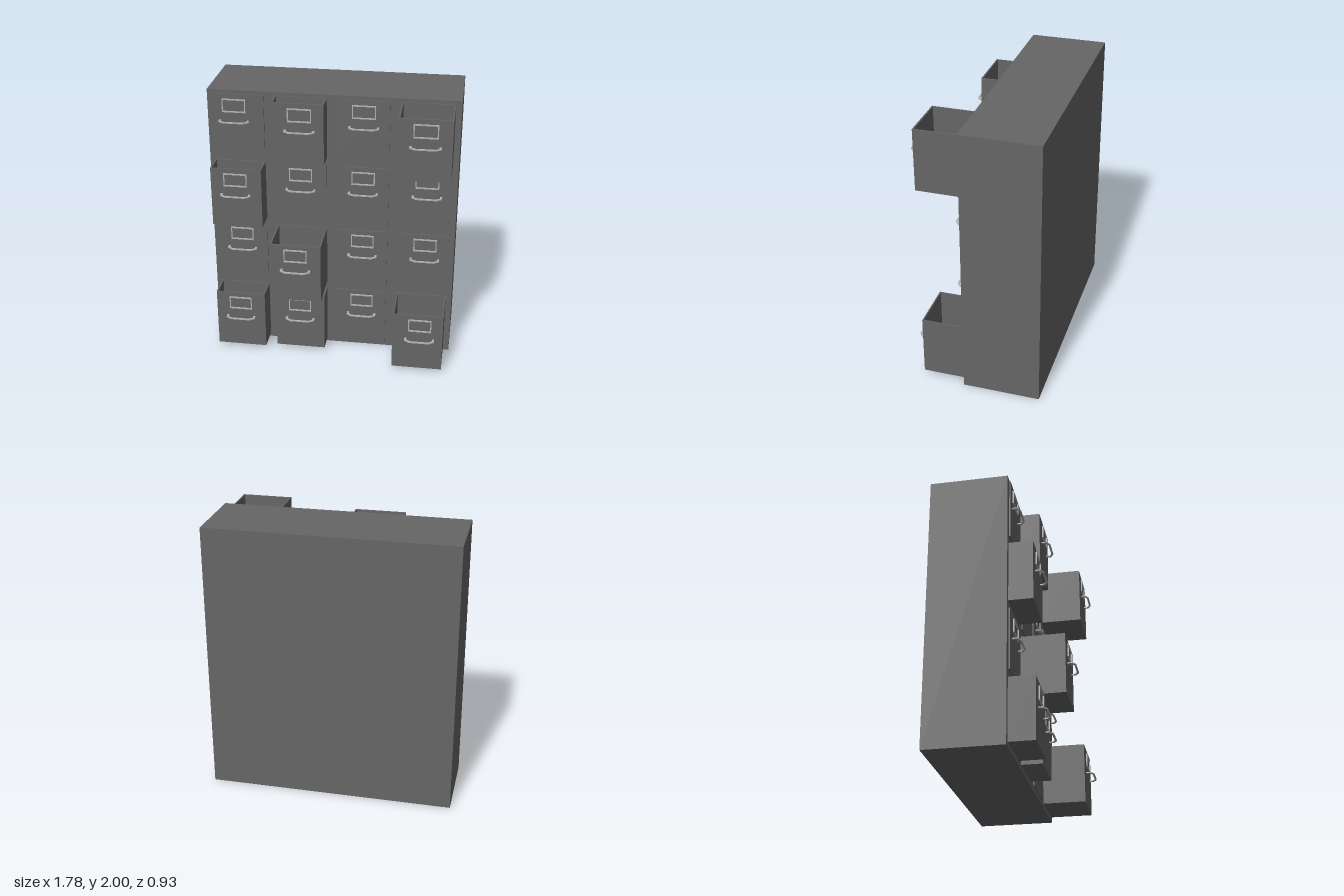
import * as THREE from 'three';

const bodyMat = new THREE.MeshStandardMaterial({ color: 0x666666 });
bodyMat.name = 'dark grey steel';
const trimMat = new THREE.MeshStandardMaterial({ color: 0xb2b2b2 });
trimMat.name = 'light grey metal';

const FACE = 0.092;            // front plane of the cabinet
const W = 0.365, H = 0.445;    // drawer size
const T = 0.01;                // sheet thickness

function box(name, w, h, d, x, y, z) {
  const m = new THREE.Mesh(new THREE.BoxGeometry(w, h, d), bodyMat);
  m.name = name;
  m.position.set(x, y, z);
  return m;
}

function polygon(points, Type = THREE.Shape) {
  return new Type(points.map(([x, y]) => new THREE.Vector2(x, y)));
}

function rect(w, h) {
  return [[-w / 2, -h / 2], [w / 2, -h / 2], [w / 2, h / 2], [-w / 2, h / 2]];
}

// Rectangular label holder frame, extruded forward
const frameShape = polygon(rect(0.168, 0.098));
frameShape.holes.push(polygon(rect(0.152, 0.082).reverse(), THREE.Path));
const frameGeo = new THREE.ExtrudeGeometry(frameShape, { depth: 0.01, bevelEnabled: false });

// Flat pull handle with chamfered corners, drawn in plan and laid horizontal
const handleShape = polygon([
  [-0.108, 0], [-0.092, 0], [-0.092, 0.028], [-0.066, 0.045], [0.066, 0.045], [0.092, 0.028],
  [0.092, 0], [0.108, 0], [0.108, 0.033], [0.072, 0.058], [-0.072, 0.058], [-0.108, 0.033],
]);
const handleGeo = new THREE.ExtrudeGeometry(handleShape, { depth: 0.008, bevelEnabled: false });
handleGeo.rotateX(Math.PI / 2).translate(0, 0.004, 0);

// One drawer; its origin is the bottom centre on the cabinet face
function makeDrawer(reach, trimShift) {
  const g = new THREE.Group();
  g.name = 'drawer';
  g.add(box('drawerFront', W, H, T, 0, H / 2, reach - T / 2));

  // Open-topped box behind the front of a pulled-out drawer
  if (reach > 0.05) {
    const d = reach - T;
    for (const s of [-1, 1]) g.add(box('drawerSide', T, H, d, s * (W - T) / 2, H / 2, d / 2));
    g.add(box('drawerFloor', W - 2 * T, T, d, 0, T / 2, d / 2));
    g.add(box('drawerBack', W - 2 * T, H - T, T, 0, (H + T) / 2, T / 2));
  }

  const frame = new THREE.Mesh(frameGeo, trimMat);
  frame.name = 'labelFrame';
  frame.position.set(trimShift, 0.361, reach);
  const handle = new THREE.Mesh(handleGeo, trimMat);
  handle.name = 'handle';
  handle.position.set(trimShift, 0.25, reach);
  g.add(frame, handle);
  return g;
}

export function createModel() {
  const model = new THREE.Group();
  model.name = 'drawerCabinet';
  model.add(box('cabinet', 1.78, 2, FACE + 0.465, 0, 1, (FACE - 0.465) / 2));

  // How far each drawer front stands out, rows from bottom to top
  const C = 0.014;
  const reaches = [
    [0.182, 0.148, C, 0.314],
    [C, 0.314, C, C],
    [0.17, C, C, C],
    [C, 0.142, C, 0.314],
  ];
  // Small sideways offsets of the label and handle
  const shifts = [
    [0, 0, 0, 0.015],
    [-0.006, 0, 0, 0.013],
    [-0.004, -0.006, 0, 0.012],
    [-0.03, 0.013, 0, 0.003],
  ];
  reaches.forEach((row, r) => row.forEach((reach, c) => {
    const drawer = makeDrawer(reach, shifts[r][c]);
    drawer.position.set(-0.668 + 0.4445 * c, 0.03 + 0.5 * r, FACE);
    model.add(drawer);
  }));
  return model;
}
